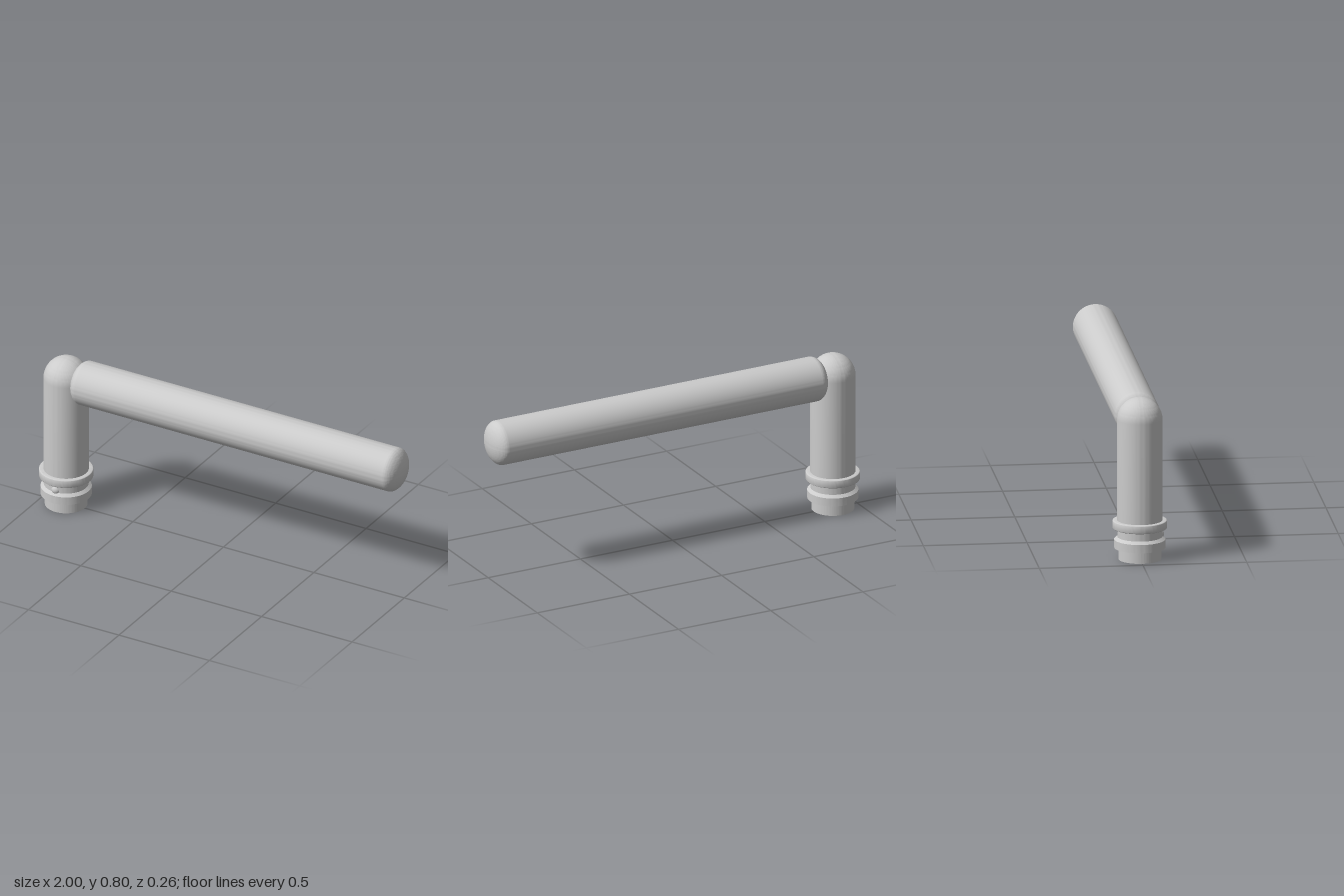
import * as THREE from 'three';
import { toCreasedNormals } from 'three/addons/utils/BufferGeometryUtils.js';

const R = 0.109;        // tube radius
const AXIS_Y = 0.688;   // height of the arm axis
const POST_X = -0.869;

const material = new THREE.MeshStandardMaterial({ color: 0xcccccc });

function addMesh(parent, name, geometry) {
  const mesh = new THREE.Mesh(geometry, material);
  mesh.name = name;
  parent.add(mesh);
  return mesh;
}

const crease = (geometry) => toCreasedNormals(geometry, 0.5);

function lathe(points) {
  return crease(new THREE.LatheGeometry(points.map(([r, y]) => new THREE.Vector2(r, y)), 96));
}

// Quarter ellipse from the tube wall (a = 0) to the pole (a = 90 degrees)
function dome(y, height, steps = 20) {
  return Array.from({ length: steps + 1 }, (_, i) => {
    const a = (i / steps) * Math.PI / 2;
    return [i === steps ? 0 : R * Math.cos(a), y + height * Math.sin(a)];
  });
}

export function createModel() {
  const model = new THREE.Group();
  model.name = 'crankHandle';

  const post = new THREE.Group();
  post.name = 'post';
  post.position.x = POST_X;
  model.add(post);

  // Upright tube with a round top
  addMesh(post, 'postTube', lathe([[R, 0.18], ...dome(AXIS_Y, R)]));

  // Lower collar with a chamfered top, then the neck
  addMesh(post, 'lowerCollar', lathe([
    [0.09, 0.057], [0.123, 0.057], [0.123, 0.098], [0.108, 0.111], [0.108, 0.16],
  ]));

  // Upper flange with rounded rims
  const rim = 0.006, flangeR = 0.131, y0 = 0.152, y1 = 0.193;
  const flange = [[0.1, y0]];
  for (let i = 0; i <= 6; i++) {
    const a = -Math.PI / 2 + (i / 6) * Math.PI / 2;
    flange.push([flangeR - rim + rim * Math.cos(a), y0 + rim + rim * Math.sin(a)]);
  }
  for (let i = 0; i <= 6; i++) {
    const a = (i / 6) * Math.PI / 2;
    flange.push([flangeR - rim + rim * Math.cos(a), y1 - rim + rim * Math.sin(a)]);
  }
  flange.push([0.1, y1]);
  addMesh(post, 'upperFlange', lathe(flange));

  // Base plug with a square drive socket open at the bottom
  const h = 0.052, depth = 0.17;
  const plug = new THREE.Shape().absarc(0, 0, 0.103, 0, Math.PI * 2);
  plug.holes.push(new THREE.Path([[-h, -h], [-h, h], [h, h], [h, -h], [-h, -h]]
    .map(([x, y]) => new THREE.Vector2(x, y))));
  const plugGeometry = new THREE.ExtrudeGeometry(plug, { depth, bevelEnabled: false, curveSegments: 64 });
  addMesh(post, 'socketBase', crease(plugGeometry.rotateX(-Math.PI / 2)));
  const floor = addMesh(post, 'socketFloor', new THREE.PlaneGeometry(2 * h, 2 * h).rotateX(Math.PI / 2));
  floor.position.y = depth;

  // Locking ball at the front of the neck
  const ball = addMesh(post, 'lockingBall', new THREE.SphereGeometry(0.025, 32, 20));
  ball.position.set(0, 0.12, 0.092);

  // Horizontal grip with a shallow dome at each end
  const startX = -0.76, endX = 0.94, cap = 0.06;
  const grip = addMesh(model, 'gripArm', lathe([
    ...dome(startX, -cap).reverse(), ...dome(endX, cap),
  ]).rotateZ(-Math.PI / 2));
  grip.position.y = AXIS_Y;

  return model;
}
